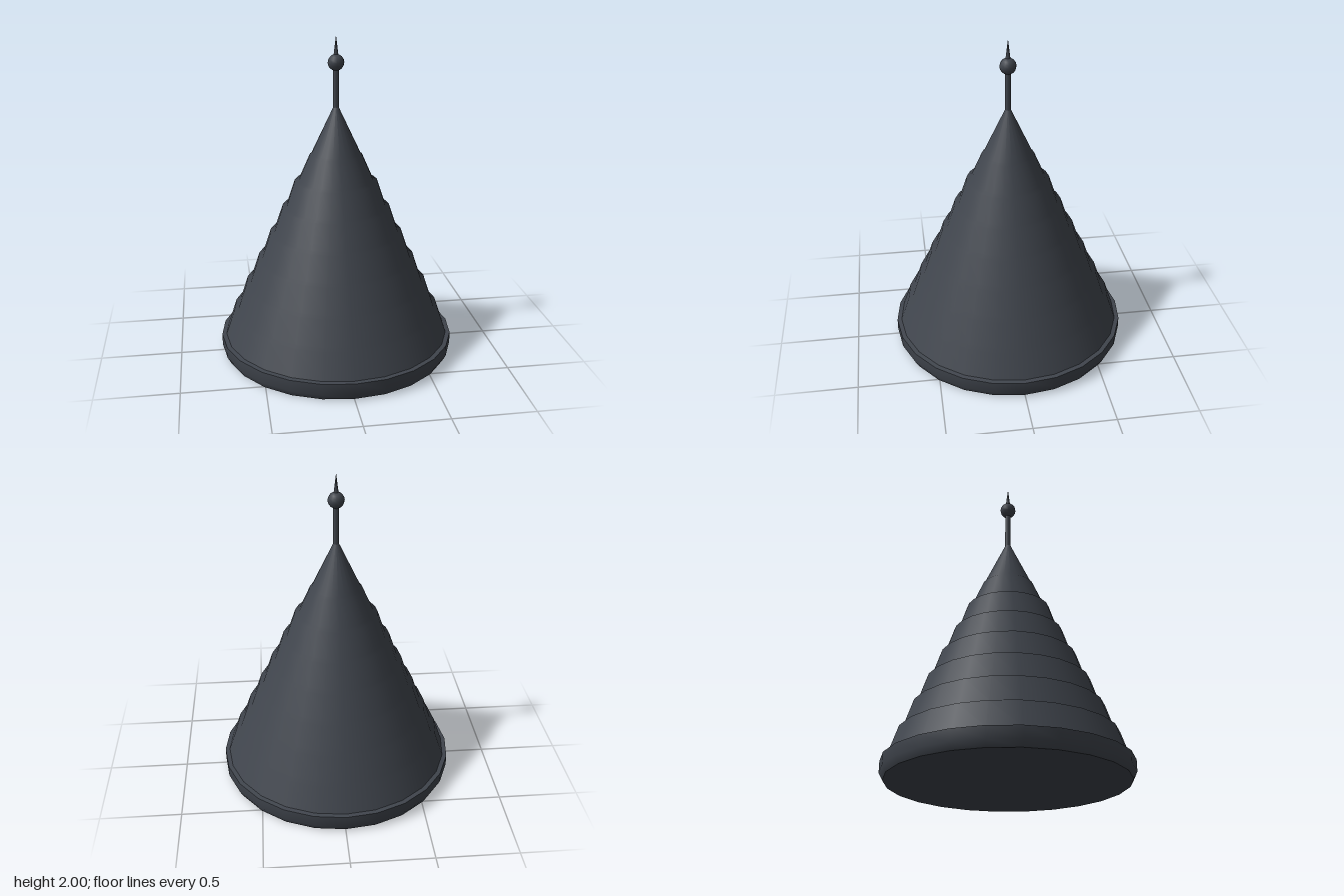
import * as THREE from 'three';

const SIDES = 24;

export function createModel() {
  const model = new THREE.Group();
  const slate = new THREE.MeshStandardMaterial({ color: 0x40454d });
  slate.name = 'darkSlate';

  const add = (name, geometry, y = 0) => {
    const mesh = new THREE.Mesh(geometry, slate);
    mesh.name = name;
    mesh.position.y = y;
    model.add(mesh);
    return mesh;
  };
  const lathe = (points, sides = SIDES) =>
    new THREE.LatheGeometry(points.map(([r, y]) => new THREE.Vector2(r, y)), sides);

  // Eave: chamfered ring with a flat underside
  add('eave', lathe([[0.715, 0], [0.737, 0.04], [0.737, 0.11]]));
  add('eaveTop', lathe([[0.737, 0.11], [0.69, 0.114]]));
  const underside = new THREE.CircleGeometry(0.715, SIDES);
  underside.rotateX(Math.PI / 2);
  add('eaveUnderside', underside);

  // Roof: courses that each flare slightly outside a straight cone at their top
  const baseY = 0.11, apexY = 1.6, baseR = 0.71, step = 0.167;
  const coneR = (y) => baseR * (apexY - y) / (apexY - baseY);
  const profile = [[baseR, baseY]];
  for (let i = 1; i <= 7; i++) {
    const y = baseY + i * step;
    const flare = i < 7 ? 0.024 : 0.008;
    profile.push([coneR(y) + flare, y - 0.004], [coneR(y + 0.006), y + 0.006]);
  }
  profile.push([0.002, apexY]);
  const roof = lathe(profile);

  // Shade all courses as one smooth cone
  const pos = roof.attributes.position;
  const normal = roof.attributes.normal;
  const n = new THREE.Vector3();
  for (let i = 0; i < pos.count; i++) {
    n.set(pos.getX(i), 0, pos.getZ(i)).normalize();
    n.y = baseR / (apexY - baseY);
    n.normalize();
    normal.setXYZ(i, n.x, n.y, n.z);
  }
  add('roof', roof);

  // Finial: pole, ball and spike
  add('finialPole', new THREE.CylinderGeometry(0.018, 0.018, 0.26, 8), 1.69);
  add('finialBall', new THREE.SphereGeometry(0.05, 12, 8), 1.838);
  add('finialSpike', new THREE.ConeGeometry(0.016, 0.13, 8), 1.935);

  return model;
}
